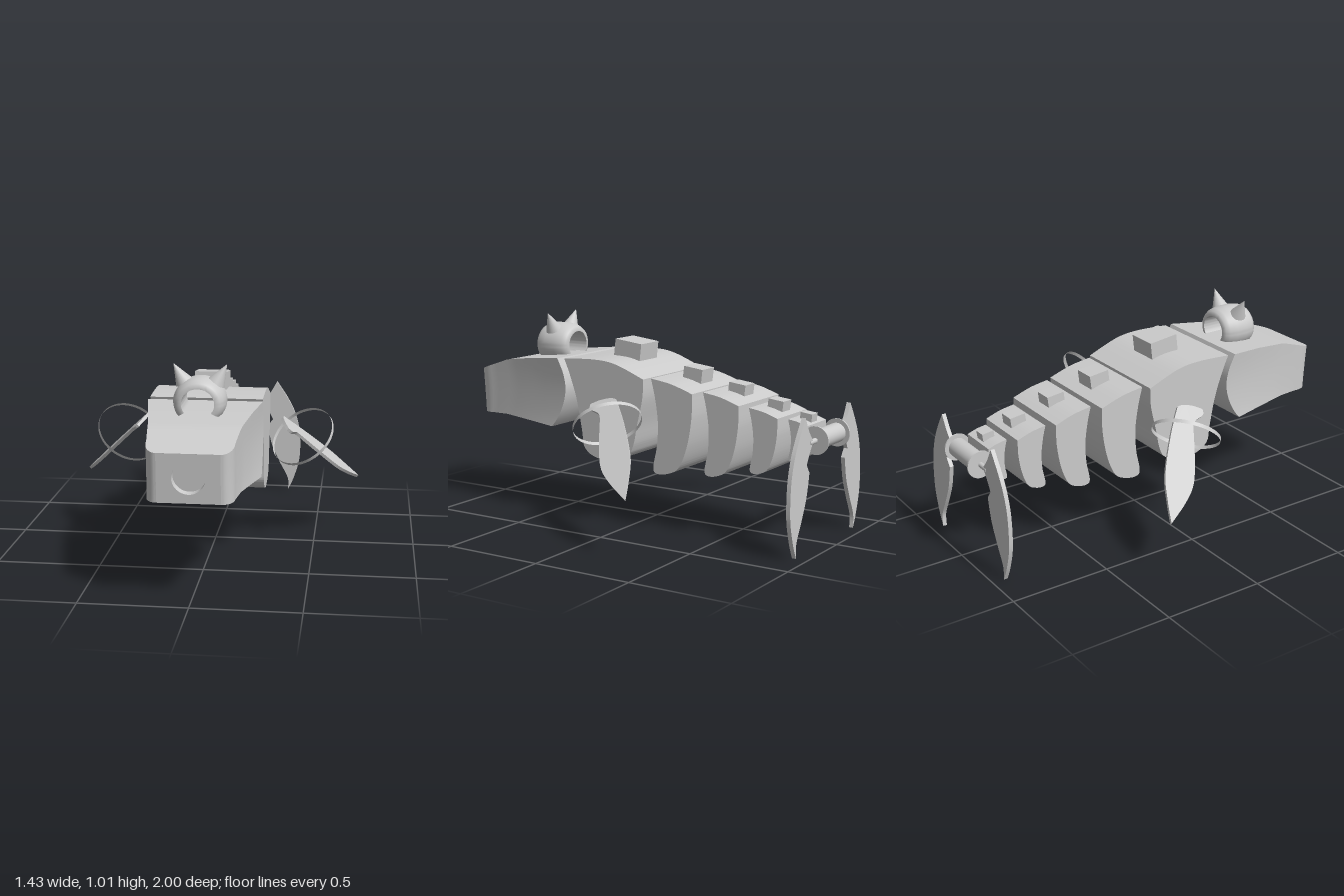
import * as THREE from 'three';
import { toCreasedNormals } from 'three/addons/utils/BufferGeometryUtils.js';

const material = new THREE.MeshStandardMaterial({ color: 0xcccccc });
const thinMaterial = new THREE.MeshStandardMaterial({ color: 0xcccccc, side: THREE.DoubleSide });
const V2 = (p) => new THREE.Vector2(p[0], p[1]);

function add(parent, name, geometry, mat = material) {
  const mesh = new THREE.Mesh(geometry, mat);
  mesh.name = name;
  parent.add(mesh);
  return mesh;
}

// piecewise-linear lookup in [[key, value], ...] with rising keys
function lookup(table, k) {
  let i = 0;
  while (i < table.length - 2 && k > table[i + 1][0]) i++;
  const [a, b] = [table[i], table[i + 1]];
  return a[1] + (b[1] - a[1]) * Math.min(1, Math.max(0, (k - a[0]) / (b[0] - a[0])));
}

// outline made of smooth runs; each run starts where the previous one ended
function outline(start, runs) {
  const shape = new THREE.Shape().moveTo(start[0], start[1]);
  runs.forEach((run) => shape.splineThru(run.map(V2)));
  return shape;
}

function plate(shape, depth) {
  const g = new THREE.ExtrudeGeometry(shape, { depth, bevelEnabled: false, curveSegments: 20 });
  g.translate(0, 0, -depth / 2);
  return toCreasedNormals(g, 0.6);
}

// Head: a box whose sections follow the top, bottom and width curves
function makeHead() {
  const head = new THREE.Group();
  head.name = 'head';
  const top = [[0.42, 0.81], [0.6, 0.795], [0.79, 0.77], [1, 0.7]];
  const bottom = [[0.42, 0.46], [0.8, 0.48], [1, 0.475]];
  const width = [[0.42, 0.27], [0.6, 0.238], [0.77, 0.21], [0.9, 0.195], [1, 0.19]];
  const back = [[0, 0.46], [0.12, 0.425], [0.28, 0.395], [0.45, 0.375], [0.62, 0.37], [0.8, 0.385], [1, 0.42]];
  const box = new THREE.BoxGeometry(2, 1, 1, 1, 12, 24);
  const pos = box.attributes.position;
  for (let i = 0; i < pos.count; i++) {
    const v = pos.getY(i) + 0.5;
    const s = 1 - (0.5 - pos.getZ(i)) ** 2;
    const z = 0.42 + 0.58 * s;
    const r = Math.max(0, (z - 0.93) / 0.07);
    const w = lookup(width, z) - 0.05 * (1 - Math.sqrt(Math.max(0, 1 - r * r)));
    const yb = lookup(bottom, z);
    const zb = lookup(back, v);
    pos.setXYZ(i, pos.getX(i) * w, yb + (lookup(top, z) - yb) * v, zb + (0.985 + 0.015 * v - zb) * s);
  }
  // drop the front side; the snout plate with its round opening replaces it
  const front = box.groups[4];
  const index = Array.from(box.index.array);
  index.splice(front.start, front.count);
  box.setIndex(index);
  box.clearGroups();
  add(head, 'headShell', toCreasedNormals(box, 0.5));

  const snout = new THREE.Group();
  snout.name = 'snout';
  snout.position.set(0, 0.59, 0.9927);
  snout.rotation.x = 0.067;
  const face = new THREE.Shape([[-0.14, -0.115], [0.14, -0.115], [0.14, 0.11], [-0.14, 0.11]].map(V2));
  face.holes.push(new THREE.Path().absarc(0, 0, 0.074, 0, Math.PI * 2, true));
  add(snout, 'snoutPlate', new THREE.ShapeGeometry(face, 24));
  const wall = new THREE.CylinderGeometry(0.074, 0.074, 0.04, 48, 1, true);
  add(snout, 'mouthWall', wall.rotateX(Math.PI / 2).translate(0, 0, -0.02), thinMaterial);
  add(snout, 'mouthFloor', new THREE.CircleGeometry(0.074, 48).translate(0, 0, -0.04));
  head.add(snout);
  return head;
}

// Helmet: a rounded arch open to front and back, with two horns
function makeHelmet() {
  const helmet = new THREE.Group();
  helmet.name = 'helmet';
  const section = [[0.075, -0.098], [0.084, -0.098], [0.1, -0.09], [0.112, -0.07], [0.12, -0.03], [0.12, 0.03],
    [0.112, 0.07], [0.1, 0.09], [0.084, 0.098], [0.075, 0.098], [0.075, -0.098]];
  const open = 0.95;
  const arch = new THREE.LatheGeometry(section.map(V2), 40, open, Math.PI * 2 - open * 2);
  // lathe axis to z, gap pointing down
  arch.rotateX(Math.PI / 2).scale(1, 0.92, 1);
  const mesh = add(helmet, 'helmetArch', toCreasedNormals(arch, 0.8), thinMaterial);
  mesh.position.set(0, 0.846, 0.588);
  for (const s of [1, -1]) {
    const horn = add(helmet, 'horn', new THREE.ConeGeometry(0.042, 0.1, 24));
    const dir = new THREE.Vector3(s * 0.5, 0.87, 0).normalize();
    horn.quaternion.setFromUnitVectors(new THREE.Vector3(0, 1, 0), dir);
    horn.position.set(s * 0.122, 1.014, 0.59).addScaledVector(dir, -0.05);
  }
  return helmet;
}

// Fin with a band around it; the fin slopes outward at 45 degrees
function makeFin(s) {
  const fin = new THREE.Group();
  fin.name = s > 0 ? 'leftFin' : 'rightFin';
  fin.position.set(s * 0.437, 0.548, 0);
  const uv = ([x, z]) => [(x - 0.437) * Math.SQRT2, z];
  const shape = outline(uv([0.37, 0.143]), [
    [[0.39, 0.13], [0.405, 0.07], [0.43, 0.045]],
    [[0.53, -0.02], [0.61, -0.085], [0.66, -0.165], [0.712, -0.285]],
    [[0.64, -0.255], [0.55, -0.205], [0.43, -0.09], [0.338, 0.016]],
    [[0.337, 0.05], [0.35, 0.1], [0.37, 0.143]],
  ].map((run) => run.map(uv)));
  const blade = add(fin, 'finBlade', plate(shape, 0.015));
  const a = new THREE.Vector3(s, -1, 0).normalize();
  const b = new THREE.Vector3(0, 0, 1);
  blade.quaternion.setFromRotationMatrix(new THREE.Matrix4().makeBasis(a, b, a.clone().cross(b)));
  const band = add(fin, 'finBand', new THREE.CylinderGeometry(0.167, 0.167, 0.018, 64, 1, true), thinMaterial);
  band.quaternion.setFromUnitVectors(new THREE.Vector3(0, 1, 0), new THREE.Vector3(s * 0.45, -0.7, -0.55).normalize());
  return fin;
}

// Tail: flanged spool with a hooked blade on each side
function makeTail() {
  const tail = new THREE.Group();
  tail.name = 'tail';
  tail.position.set(0, 0.515, -0.933);
  const rod = (name, r, length, x) =>
    add(tail, name, new THREE.CylinderGeometry(r, r, length, 40).rotateZ(Math.PI / 2)).position.x = x;
  rod('spool', 0.047, 0.23, 0);
  for (const s of [1, -1]) {
    rod('flange', 0.067, 0.008, s * 0.114);
    rod('bladePin', 0.013, 0.08, s * 0.145);
    const m = ([x, y]) => [s * x, y - 0.515];
    const shape = outline(m([0.24, 0.64]), [
      [[0.3, 0.55], [0.345, 0.46], [0.372, 0.35], [0.374, 0.2], [0.345, 0.085], [0.31, 0.005]],
      [[0.308, 0.075], [0.26, 0.17], [0.215, 0.27], [0.19, 0.38]],
      [[0.22, 0.42]],
      [[0.195, 0.465], [0.157, 0.52]],
      [[0.2, 0.57], [0.24, 0.64]],
    ].map((run) => run.map(m)));
    add(tail, 'tailBlade', plate(shape, 0.02));
  }
  return tail;
}

export function createModel() {
  const model = new THREE.Group();
  model.name = 'segmentedCreature';
  model.add(makeHead(), makeHelmet());

  // Side profile in (-z, y), pulled across the full body width
  const addSegment = (name, shape, half) => {
    add(model, name, plate(shape, half * 2).rotateY(Math.PI / 2));
  };
  addSegment('chest', outline([-0.38, 0.812], [
    [[-0.2, 0.82], [-0.07, 0.805], [0.09, 0.745]],
    [[0.085, 0.65], [0.055, 0.52], [0.03, 0.41], [-0.01, 0.355], [-0.12, 0.325], [-0.21, 0.337], [-0.262, 0.38],
      [-0.275, 0.46], [-0.305, 0.61], [-0.345, 0.73], [-0.38, 0.812]],
  ]), 0.266);

  // Overlapping body segments: front, back (as -z), bottom, top, half width
  const segments = [
    [0.115, 0.345, 0.285, 0.748, 0.235],
    [0.385, 0.577, 0.3, 0.7, 0.2],
    [0.605, 0.755, 0.33, 0.64, 0.151],
    [0.785, 0.882, 0.4, 0.597, 0.102],
  ];
  segments.forEach(([z0, z1, y0, y1, half], i) => {
    const fit = ([u, v]) => [z0 + (z1 - z0) * u, y0 + (y1 - y0) * v];
    addSegment(`bodySegment${i + 1}`, outline(fit([0, 1]), [
      [[0.5, 0.96], [1, 0.88]],
      [[0.99, 0.62], [0.88, 0.32], [0.68, 0.09], [0.4, 0.01], [0.13, 0], [0.06, 0.07],
        [0.15, 0.3], [0.17, 0.55], [0.1, 0.8], [0, 1]],
    ].map((run) => run.map(fit))), half);
  });

  // Back plates: z, top y, width, length
  const plates = [
    [0.127, 0.895, 0.157, 0.155],
    [-0.237, 0.788, 0.11, 0.105],
    [-0.477, 0.73, 0.09, 0.09],
    [-0.683, 0.669, 0.08, 0.08],
    [-0.837, 0.62, 0.058, 0.06],
  ];
  for (const [z, y, w, l] of plates) {
    const box = add(model, 'backPlate', new THREE.BoxGeometry(w, 0.1, l));
    box.position.set(0, y - 0.05, z);
    box.rotation.x = -0.12;
  }

  model.add(makeFin(1), makeFin(-1), makeTail());
  return model;
}
